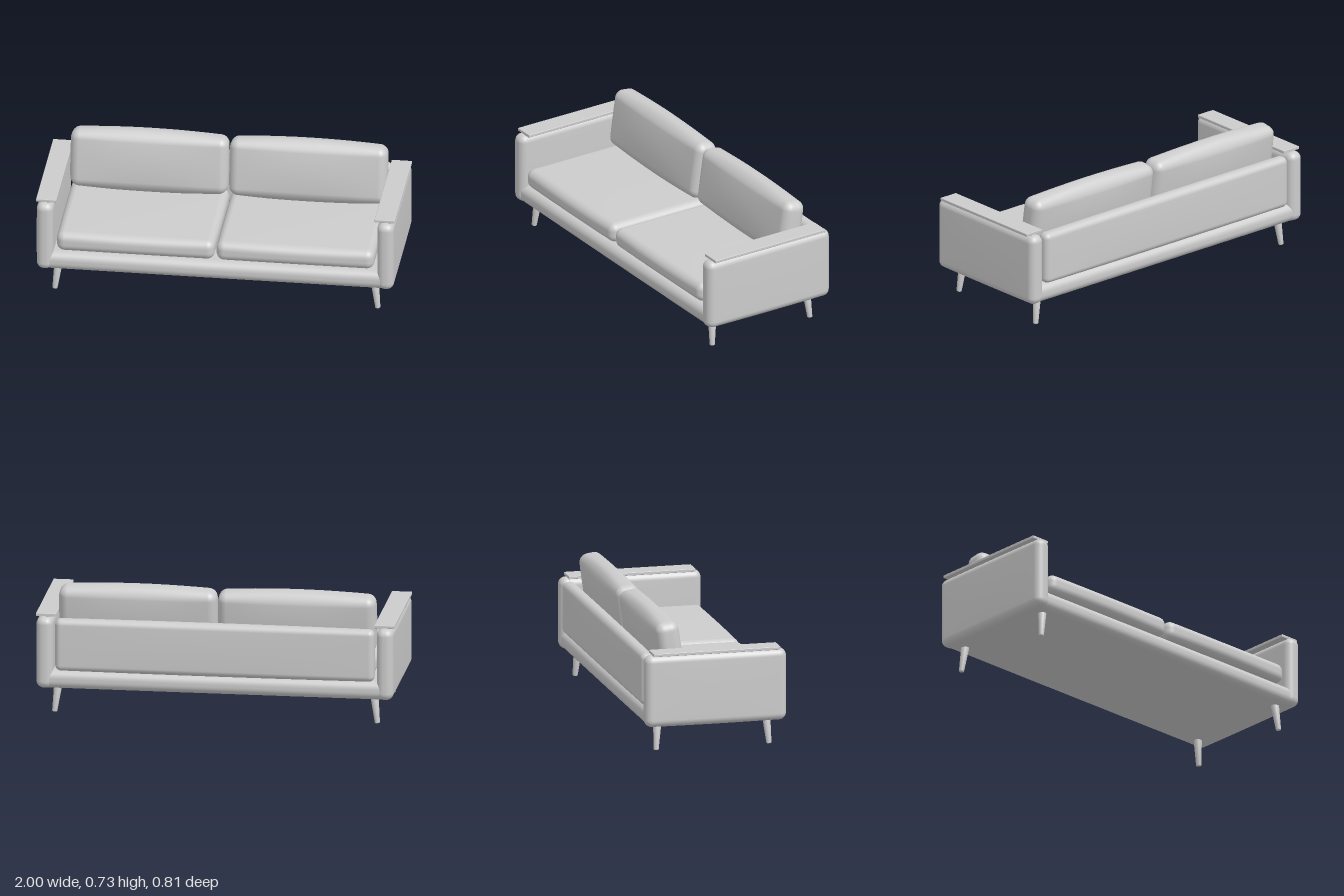
import * as THREE from 'three';
import { mergeVertices } from 'three/addons/utils/BufferGeometryUtils.js';

const fabric = new THREE.MeshStandardMaterial({ color: 0xcccccc });
fabric.name = 'lightGrey';

// Rounded, softly bulging block. bulge = extra size at the middle of each axis' faces.
function pillow(w, h, d, r, bulge = [0, 0, 0]) {
  const corner = 5, core = 10, n = 2 * corner + core;
  const half = [w / 2, h / 2, d / 2];
  let geo = new THREE.BoxGeometry(2, 2, 2, n, n, n);
  geo.deleteAttribute('uv');
  geo.deleteAttribute('normal');
  geo = mergeVertices(geo, 1e-4);
  const pos = geo.attributes.position;

  // Concentrate the grid lines in the rounded edges
  const remap = (t, s) => {
    const k = Math.round(Math.abs(t) * n / 2);
    const flat = s - r;
    const v = k <= core / 2
      ? flat * k / (core / 2)
      : flat + r * Math.tan((k - core / 2) / corner * Math.PI / 4);
    return Math.sign(t) * v;
  };

  for (let i = 0; i < pos.count; i++) {
    const p = [pos.getX(i), pos.getY(i), pos.getZ(i)].map((t, a) => remap(t, half[a]));
    const inner = p.map((v, a) => THREE.MathUtils.clamp(v, r - half[a], half[a] - r));
    const off = new THREE.Vector3(...p.map((v, a) => v - inner[a])).setLength(r).toArray();
    const q = inner.map((v, a) => v + off[a]);
    const u = q.map((v, a) => v / half[a]);
    const out = q.map((v, a) => {
      const b = (a + 1) % 3, c = (a + 2) % 3;
      return v + u[a] * bulge[a] * (1 - u[b] ** 2) * (1 - u[c] ** 2);
    });
    pos.setXYZ(i, ...out);
  }
  geo.computeVertexNormals();
  return geo;
}

export function createModel() {
  const sofa = new THREE.Group();
  sofa.name = 'sofa';

  const add = (name, geo, x, y, z) => {
    const mesh = new THREE.Mesh(geo, fabric);
    mesh.name = name;
    mesh.position.set(x, y, z);
    sofa.add(mesh);
    return mesh;
  };

  // Upholstered base and low back panel
  add('base', pillow(1.97, 0.106, 0.792, 0.045, [0, 0.004, 0.003]), 0, 0.199, 0);
  add('backrest', pillow(1.78, 0.295, 0.076, 0.032, [0, 0.004, 0.004]), 0, 0.398, -0.364);

  const armGeo = pillow(0.092, 0.405, 0.806, 0.04, [0.003, 0.003, 0]);
  const plateGeo = pillow(0.113, 0.017, 0.724, 0.003);
  const seatGeo = pillow(0.878, 0.112, 0.69, 0.042, [0.003, 0.004, 0.008]);
  const backGeo = pillow(0.875, 0.325, 0.132, 0.046, [0.004, 0.02, 0.014]);
  const up = new THREE.Vector3(0, 1, 0);

  for (const [side, s] of [['left', 1], ['right', -1]]) {
    // Arm with its flat top board
    add(side + 'Arm', armGeo, s * 0.949, 0.3505, 0);
    add(side + 'ArmBoard', plateGeo, s * 0.9435, 0.561, 0.002);

    // Loose cushions, the back one leaning against the panel
    add(side + 'SeatCushion', seatGeo, s * 0.445, 0.318, 0.046);
    const cushion = add(side + 'BackCushion', backGeo, s * 0.443, 0.545, -0.229);
    cushion.rotation.x = -0.14;

    // Tapered, splayed legs
    for (const [end, f] of [['Front', 1], ['Back', -1]]) {
      const foot = new THREE.Vector3(s * 0.9, 0.001, f * 0.322);
      const top = new THREE.Vector3(s * 0.881, 0.16, f * 0.31);
      const axis = top.clone().sub(foot);
      const len = axis.length();
      const profile = [[0, 0], [0.011, 0], [0.0145, 0.004], [0.0235, len], [0, len]]
        .map(([x, y]) => new THREE.Vector2(x, y));
      const leg = add(side + end + 'Leg', new THREE.LatheGeometry(profile, 24), foot.x, foot.y, foot.z);
      leg.quaternion.setFromUnitVectors(up, axis.normalize());
    }
  }
  return sofa;
}
